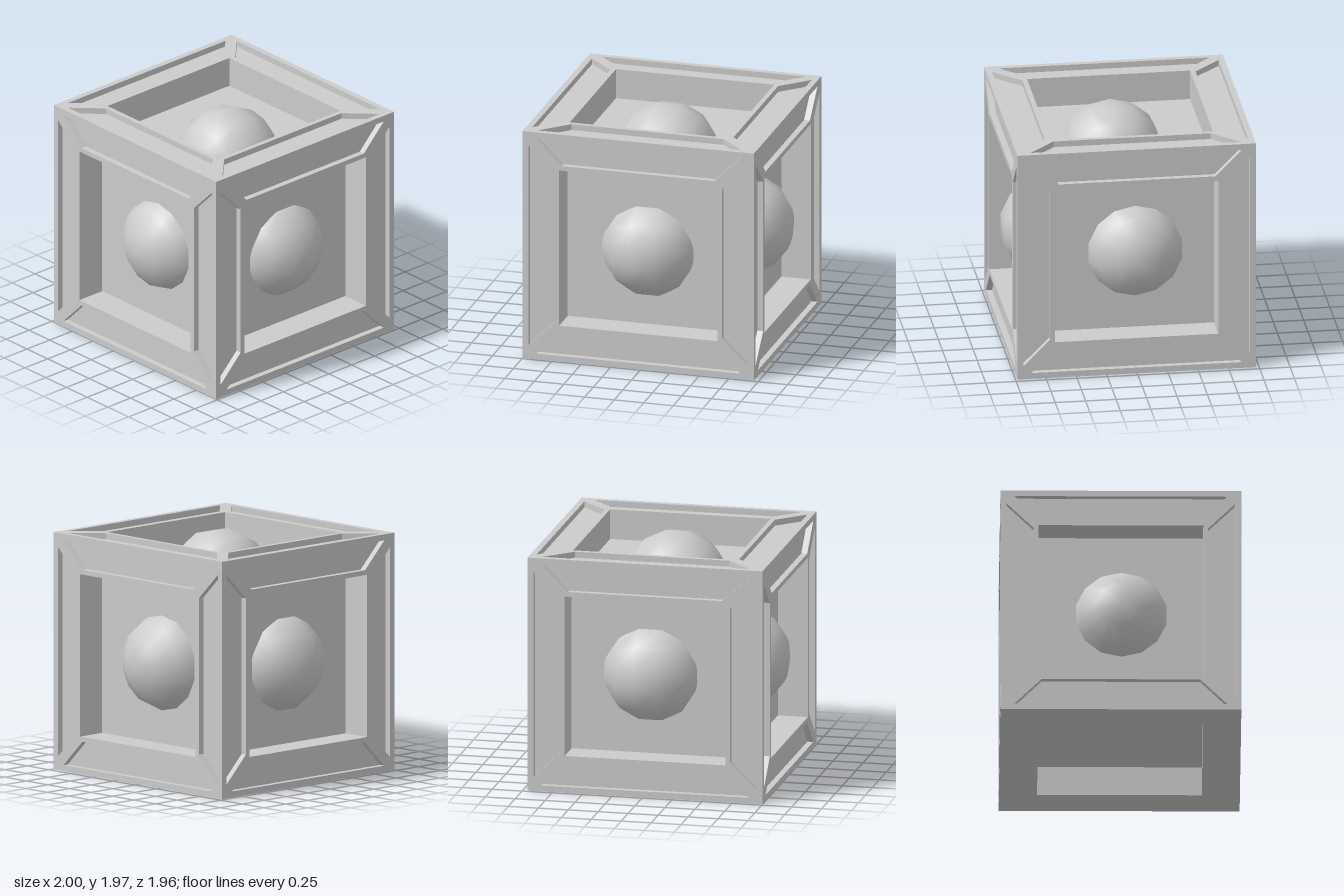
import * as THREE from 'three';

const HALF = 0.98;      // half the cube's side
const OPENING = 0.67;   // half the side of each square recess
const GROOVE = 0.05;    // depth of the trapezoid panels
const RECESS = 0.25;    // depth of the square recesses

const material = new THREE.MeshStandardMaterial({ color: 0xcccccc });

function square(half, Type = THREE.Shape) {
  const s = new Type();
  s.moveTo(-half, -half).lineTo(half, -half).lineTo(half, half).lineTo(-half, half).closePath();
  return s;
}

// Trapezoid panel outline along one side, turned by quarter turns
function trapezoid(turn) {
  const centre = new THREE.Vector2();
  const points = [[-0.865, 0.93], [0.865, 0.93], [0.645, 0.71], [-0.645, 0.71]]
    .map(([x, y]) => new THREE.Vector2(x, y).rotateAround(centre, turn * Math.PI / 2));
  return new THREE.Path(points).closePath();
}

function addMesh(parent, name, geometry) {
  const mesh = new THREE.Mesh(geometry, material);
  mesh.name = name;
  parent.add(mesh);
  return mesh;
}

// One face: grooved front plate and the deeper wall around the recess
function makeFace(name, hasPanels) {
  const face = new THREE.Group();
  face.name = name;

  const plate = square(HALF);
  plate.holes.push(square(OPENING, THREE.Path));
  if (hasPanels) for (let i = 0; i < 4; i++) plate.holes.push(trapezoid(i));
  addMesh(face, 'framePlate', new THREE.ExtrudeGeometry(plate, { depth: GROOVE, bevelEnabled: false }))
    .position.z = HALF - GROOVE;

  const wall = square(HALF - GROOVE);
  wall.holes.push(square(OPENING, THREE.Path));
  addMesh(face, 'recessWall', new THREE.ExtrudeGeometry(wall, { depth: RECESS - GROOVE, bevelEnabled: false }))
    .position.z = HALF - RECESS;
  return face;
}

export function createModel() {
  const model = new THREE.Group();
  const cube = new THREE.Group();
  cube.name = 'cube';
  cube.position.set(-0.02, HALF, 0.005);
  model.add(cube);

  // Six framed faces; the underside is plain
  const q = Math.PI / 2;
  const faces = [
    ['frontFace', 0, 0], ['leftFace', 0, q], ['backFace', 0, 2 * q],
    ['rightFace', 0, -q], ['topFace', -q, 0], ['bottomFace', q, 0],
  ];
  for (const [name, rx, ry] of faces) {
    const face = makeFace(name, name !== 'bottomFace');
    face.rotation.set(rx, ry, 0);
    cube.add(face);
  }

  // Inner block forming the recess floors
  const inner = 2 * (HALF - RECESS);
  addMesh(cube, 'core', new THREE.BoxGeometry(inner, inner, inner));

  // Domes rising from the recess floors, all with poles along x
  const dome = new THREE.SphereGeometry(0.425, 14, 7).rotateZ(-q);
  const domes = [
    ['frontDome', -0.012, 0.937, 0.57],
    ['backDome', -0.01, 0.97, -0.57],
    ['leftDome', 0.57, 0.975, -0.018],
    ['rightDome', -0.577, 0.965, 0.01],
    ['topDome', -0.04, 1.56, 0.075],
  ];
  for (const [name, x, y, z] of domes) {
    addMesh(model, name, dome).position.set(x, y, z);
  }
  return model;
}
